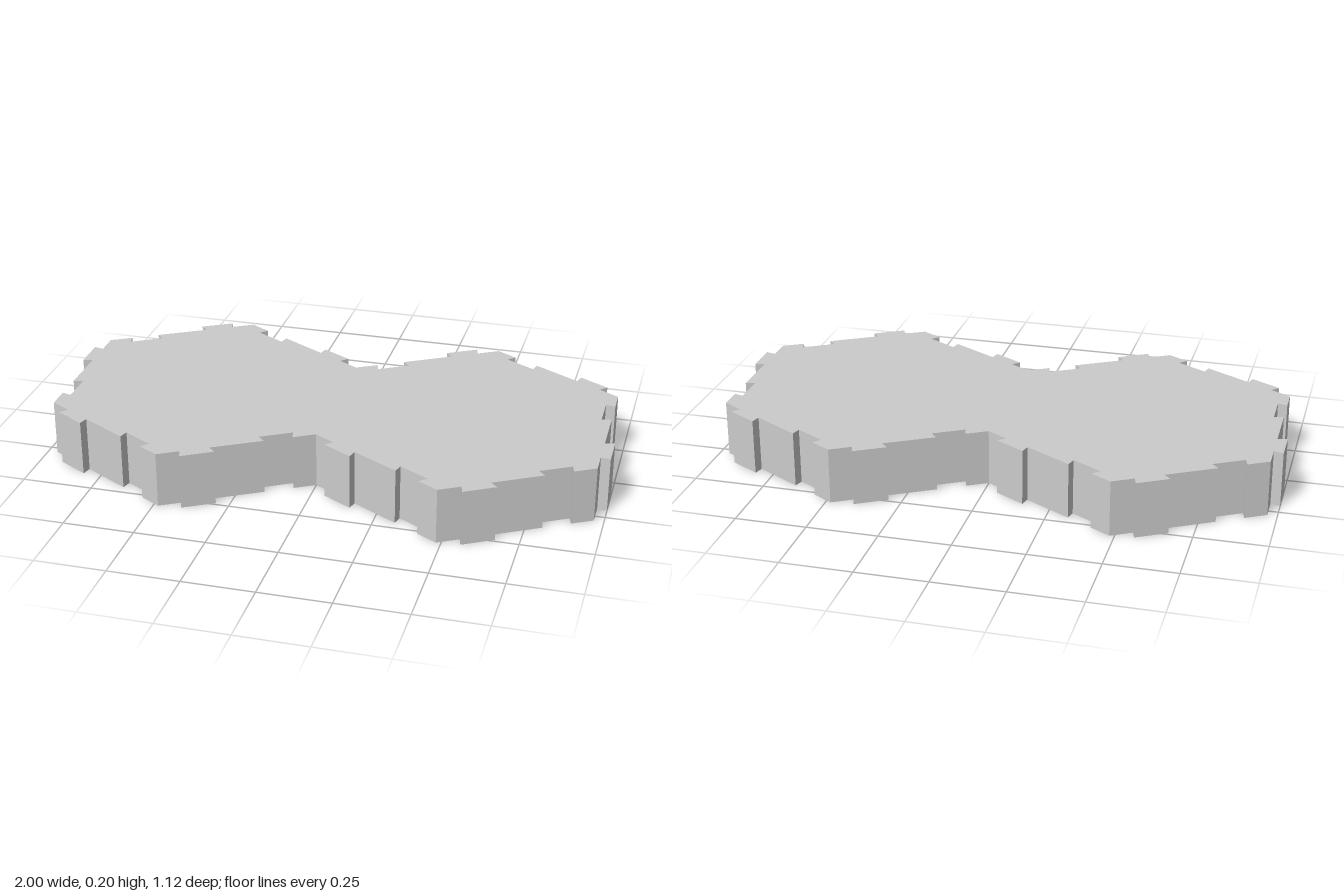
import * as THREE from 'three';

const APOTHEM = 0.483;
const RADIUS = APOTHEM / Math.cos(Math.PI / 6);
const HEIGHT = 0.198;
const DEPTH = 0.034; // how far tabs and notches reach from the edge

// [distance from edge middle, offset outwards]: dovetail notch, then matching tab
const EDGE_PROFILE = [
  [-0.196, 0], [-0.205, -DEPTH], [-0.085, -DEPTH], [-0.094, 0],
  [0.094, 0], [0.085, DEPTH], [0.205, DEPTH], [0.196, 0],
];

const corner = (degrees) => new THREE.Vector2(
  APOTHEM + RADIUS * Math.cos(THREE.MathUtils.degToRad(degrees)),
  RADIUS * Math.sin(THREE.MathUtils.degToRad(degrees)),
);

// Five free edges of one hexagon, walked clockwise from the waist
function hexagonOutline() {
  const points = [];
  for (let i = 0; i < 5; i++) {
    const a = corner(150 - 60 * i);
    const b = corner(90 - 60 * i);
    const along = b.clone().sub(a).normalize();
    const outward = new THREE.Vector2(-along.y, along.x);
    const middle = a.clone().add(b).multiplyScalar(0.5);
    points.push(a);
    for (const [s, n] of EDGE_PROFILE) {
      points.push(middle.clone().addScaledVector(along, s).addScaledVector(outward, n));
    }
  }
  return points;
}

export function createModel() {
  const group = new THREE.Group();
  group.name = 'doubleHexTile';

  // The second hexagon is the first turned half way round the centre
  const half = hexagonOutline();
  const otherHalf = half.map((p) => p.clone().negate());
  const geometry = new THREE.ExtrudeGeometry(new THREE.Shape([...half, ...otherHalf]), {
    depth: HEIGHT, bevelEnabled: false,
  });
  geometry.rotateX(-Math.PI / 2);

  const tile = new THREE.Mesh(
    geometry,
    new THREE.MeshStandardMaterial({ color: 0xcccccc, flatShading: true }),
  );
  tile.name = 'interlockingTile';
  group.add(tile);
  return group;
}
